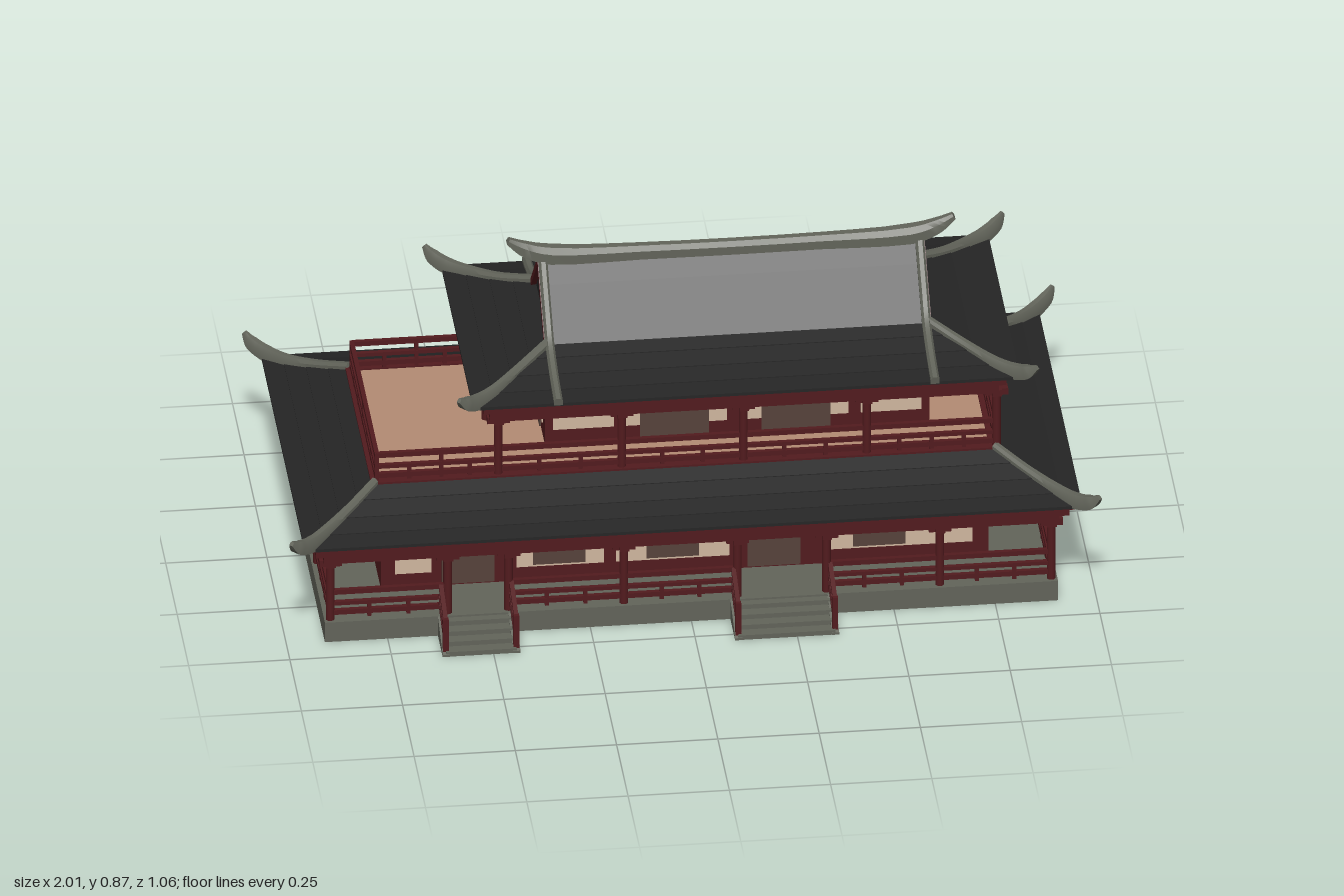
import * as THREE from 'three';
import { toCreasedNormals } from 'three/addons/utils/BufferGeometryUtils.js';

const mat = (name, color, side = THREE.FrontSide) => {
  const m = new THREE.MeshStandardMaterial({ color, side });
  m.name = name;
  return m;
};

export function createModel() {
  const stone = mat('grey stone', 0x62645a, THREE.DoubleSide);
  const red = mat('dark red wood', 0x521b1e);
  const tile = mat('black roof tile', 0x252525, THREE.DoubleSide);
  const cream = mat('cream panel', 0xcfb69f);
  const brown = mat('brown lattice', 0x56423b);
  const floor = mat('terrace floor', 0xb38b73);
  const root = new THREE.Group();
  root.name = 'pavilion';

  const group = (name) => {
    const g = new THREE.Group();
    g.name = name;
    root.add(g);
    return g;
  };
  const add = (parent, name, geo, m) => {
    const mesh = new THREE.Mesh(geo, m);
    mesh.name = name;
    parent.add(mesh);
    return mesh;
  };
  // Box given by its minimum and maximum corners
  const block = (parent, name, m, x0, x1, y0, y1, z0, z1) =>
    add(parent, name, new THREE.BoxGeometry(x1 - x0, y1 - y0, z1 - z0), m)
      .position.set((x0 + x1) / 2, (y0 + y1) / 2, (z0 + z1) / 2);
  // Straight timber between two points
  const bar = (parent, name, m, a, b, w, h = w) => {
    const p = new THREE.Vector3(...a), q = new THREE.Vector3(...b);
    const mesh = add(parent, name, new THREE.BoxGeometry(w, h, p.distanceTo(q)), m);
    mesh.position.copy(p).lerp(q, 0.5);
    mesh.lookAt(q);
  };
  // Rectangular slab with a rectangular opening
  const frame = (parent, name, m, hx, hz, ix, iz, y0, y1, cx = 0) => {
    const rect = (C, x, z) => new C([[-x, -z], [x, -z], [x, z], [-x, z]].map((p) => new THREE.Vector2(...p)));
    const s = rect(THREE.Shape, hx, hz);
    s.holes.push(rect(THREE.Path, ix, iz));
    const g = new THREE.ExtrudeGeometry(s, { depth: y1 - y0, bevelEnabled: false });
    add(parent, name, g.rotateX(-Math.PI / 2), m).position.set(cx, y0, 0);
  };
  // Surface through a list of closed loops of points
  const loft = (loops, closeEnds = false) => {
    const pos = [], n = loops[0].length;
    for (let i = 0; i < loops.length - 1; i++) {
      for (let j = 0; j < n; j++) {
        const k = (j + 1) % n, [a, b, c, d] = [loops[i][j], loops[i][k], loops[i + 1][k], loops[i + 1][j]];
        pos.push(...a, ...b, ...c, ...a, ...c, ...d);
      }
    }
    if (closeEnds) for (const l of [[...loops[0]].reverse(), loops[loops.length - 1]]) {
      for (let j = 1; j < n - 1; j++) pos.push(...l[0], ...l[j], ...l[j + 1]);
    }
    const g = new THREE.BufferGeometry();
    g.setAttribute('position', new THREE.Float32BufferAttribute(pos, 3));
    g.computeVertexNormals();
    return g;
  };
  // Ridge bar swept along a curve; sizes are [width, height] per point
  const ridge = (parent, name, pts, sizes) => {
    const curve = new THREE.CatmullRomCurve3(pts.map((p) => new THREE.Vector3(...p)));
    const N = 24, loops = [];
    for (let i = 0; i <= N; i++) {
      const t = i / N, p = curve.getPoint(t), d = curve.getTangent(t);
      const f = t * (pts.length - 1), k = Math.min(Math.floor(f), pts.length - 2);
      const [w, h] = [0, 1].map((c) => THREE.MathUtils.lerp(sizes[k][c], sizes[k + 1][c], f - k));
      const side = new THREE.Vector3(d.z, 0, -d.x).normalize();
      const up = new THREE.Vector3().crossVectors(d, side).normalize();
      loops.push([[-1, -1], [1, -1], [1, 0.3], [0.5, 1], [-0.5, 1], [-1, 0.3]].map(([u, v]) =>
        p.clone().addScaledVector(side, u * w / 2).addScaledVector(up, v * h / 2).toArray()));
    }
    add(parent, name, toCreasedNormals(loft(loops, true), 0.6), stone);
  };
  // Concave hipped skirt with overlapping tile rows
  const skirt = (parent, cx, hx0, hz0, hx1, hz1, y0, y1, rows) => {
    const loop = (t, y) => {
      const x = hx0 + (hx1 - hx0) * t, z = hz0 + (hz1 - hz0) * t;
      return [[cx - x, y, z], [cx + x, y, z], [cx + x, y, -z], [cx - x, y, -z]];
    };
    const yAt = (t) => y0 + (y1 - y0) * t ** 1.3;
    const loops = [loop(0, y0 - 0.006)];
    for (let r = 0; r < rows; r++) loops.push(loop(r / rows, yAt(r / rows) + 0.002), loop((r + 1) / rows, yAt((r + 1) / rows)));
    add(parent, 'tileRows', loft(loops), tile);
  };

  // Stone base and stairs
  const base = group('base');
  frame(base, 'plinth', stone, 0.905, 0.425, 0.735, 0.258, 0, 0.055);
  const stairs = (x0, x1, s) => {
    const g = group('stairs');
    for (let i = 0; i < 4; i++) {
      const za = s * 0.42, zb = s * (0.445 + 0.028 * i);
      block(g, 'step', stone, x0, x1, 0, 0.05 - i * 0.0125, Math.min(za, zb), Math.max(za, zb));
    }
    for (const x of [x0, x1]) {
      const sh = new THREE.Shape([[0.42, 0], [0.53, 0], [0.53, 0.006], [0.425, 0.055], [0.42, 0.055]].map((p) => new THREE.Vector2(...p)));
      const curb = add(g, 'curb', new THREE.ExtrudeGeometry(sh, { depth: 0.018, bevelEnabled: false }), stone);
      curb.rotation.y = -s * Math.PI / 2;
      curb.position.x = x + s * 0.009;
      for (const h of [0.078, 0.05, 0.027]) bar(g, 'handrail', red, [x, 0.055 + h, s * 0.41], [x, 0.015 + h, s * 0.515], 0.011);
      block(g, 'newel', red, x - 0.007, x + 0.007, 0.005, 0.1, s * 0.515 - 0.007, s * 0.515 + 0.007);
    }
  };
  stairs(-0.617, -0.443, 1);
  stairs(0.105, 0.344, 1);
  stairs(-0.345, 0.078, -1);

  // Columns with brackets
  const column = (g, x, z, y0, y1) => {
    add(g, 'post', new THREE.CylinderGeometry(0.011, 0.011, y1 - y0, 10), red).position.set(x, (y0 + y1) / 2, z);
    block(g, 'bracket', red, x - 0.028, x + 0.028, y1 - 0.018, y1, z - 0.012, z + 0.012);
    block(g, 'bracket', red, x - 0.012, x + 0.012, y1 - 0.018, y1, z - 0.02, z + 0.02);
  };
  // Railing panel with three bars and small uprights
  const railing = (g, a, b, y) => {
    for (const [h, t] of [[0.072, 0.013], [0.04, 0.01], [0.015, 0.013]]) bar(g, 'rail', red, [a[0], y + h, a[1]], [b[0], y + h, b[1]], 0.011, t);
    const n = Math.max(2, Math.round(Math.hypot(b[0] - a[0], b[1] - a[1]) / 0.09));
    for (let i = 0; i <= n; i++) {
      const x = a[0] + (b[0] - a[0]) * i / n, z = a[1] + (b[1] - a[1]) * i / n;
      const top = i % n ? 0.04 : 0.078;
      block(g, 'upright', red, x - 0.005, x + 0.005, y, y + top, z - 0.005, z + 0.005);
    }
  };
  const veranda = group('lowerVeranda');
  const frontX = [-0.89, -0.6, -0.45, -0.165, 0.115, 0.335, 0.615, 0.89];
  const backX = [-0.89, -0.62, -0.345, 0.08, 0.335, 0.615, 0.89];
  const sideZ = [-0.407, -0.13, 0.13, 0.407];
  for (const [xs, z, open] of [[frontX, 0.407, [1, 4]], [backX, -0.407, [2]]]) {
    xs.forEach((x, i) => {
      column(veranda, x, z, 0.055, 0.228);
      if (i < xs.length - 1 && !open.includes(i)) railing(veranda, [x, z], [xs[i + 1], z], 0.06);
    });
  }
  for (const x of [-0.89, 0.89]) for (let i = 0; i < 3; i++) {
    if (i) column(veranda, x, sideZ[i], 0.055, 0.228);
    railing(veranda, [x, sideZ[i]], [x, sideZ[i + 1]], 0.06);
  }
  frame(veranda, 'lowerBeam', red, 0.908, 0.432, 0.86, 0.375, 0.225, 0.255);
  frame(veranda, 'eaveBeam', red, 0.93, 0.452, 0.75, 0.275, 0.255, 0.284);
  frame(veranda, 'soffit', red, 0.955, 0.471, 0.9, 0.42, 0.282, 0.287);

  // Walls with thin panels on both faces
  const walls = (name, cx, hx, hz, y0, y1) => {
    const g = group(name);
    frame(g, 'wall', red, hx, hz, hx - 0.02, hz - 0.02, y0, y1, cx);
    return {
      long: (s, m, x0, x1, a, b, lift = 0) => {
        const t = 0.0035 + lift;
        for (const z of [s * hz, s * (hz - 0.02)]) block(g, 'panel', m, x0, x1, a, b, z - t, z + t);
      },
      end: (s, m, w, a, b, lift = 0) => {
        const t = 0.0035 + lift;
        for (const x of [cx + s * hx, cx + s * (hx - 0.02)]) block(g, 'panel', m, x - t, x + t, a, b, -w, w);
      },
      lining: (a, b) => frame(g, 'lining', cream, hx - 0.019, hz - 0.019, hx - 0.023, hz - 0.023, a, b, cx),
    };
  };
  const low = walls('lowerWalls', 0, 0.75, 0.275, 0.055, 0.29);
  low.lining(0.09, 0.252);
  for (const [a, b] of [[-0.715, -0.625], [-0.415, -0.2], [-0.17, 0.11], [0.345, 0.71]]) low.long(1, cream, a, b, 0.095, 0.215);
  for (const x of [-0.31, -0.03, 0.48]) low.long(1, brown, x - 0.065, x + 0.065, 0.1, 0.215, 0.001);
  for (const x of [-0.535, 0.22]) low.long(1, brown, x - 0.065, x + 0.065, 0.06, 0.22, 0.001);
  for (const [a, b] of [[-0.71, -0.4], [-0.35, 0.09], [0.14, 0.4], [0.45, 0.71]]) low.long(-1, cream, a, b, 0.095, 0.215);
  for (const x of [-0.55, 0.27, 0.58]) low.long(-1, brown, x - 0.06, x + 0.06, 0.1, 0.215, 0.001);
  low.long(-1, brown, -0.23, -0.03, 0.06, 0.22, 0.001);
  for (const s of [-1, 1]) low.end(s, cream, 0.19, 0.095, 0.215);

  const up = walls('upperWalls', 0.145, 0.475, 0.14, 0.36, 0.54);
  for (const s of [-1, 1]) {
    for (const [a, b] of [[-0.31, -0.16], [-0.13, 0.12], [0.17, 0.42], [0.45, 0.6]]) up.long(s, cream, a, b, 0.4, 0.515);
    for (const x of [-0.01, 0.29]) up.long(s, brown, x - 0.085, x + 0.085, 0.365, 0.515, 0.001);
    up.end(s, cream, 0.105, 0.4, 0.515);
    up.end(s, brown, 0.06, 0.365, 0.515, 0.001);
  }

  // Lower roof and terrace deck
  const lowerRoof = group('lowerRoof');
  skirt(lowerRoof, 0, 0.96, 0.475, 0.765, 0.28, 0.292, 0.362, 4);
  frame(lowerRoof, 'innerCurb', tile, 0.755, 0.278, 0.726, 0.25, 0.25, 0.352);
  block(lowerRoof, 'deck', floor, -0.765, 0.775, 0.348, 0.36, -0.282, 0.282);
  frame(lowerRoof, 'deckEdge', red, 0.775, 0.288, 0.752, 0.265, 0.346, 0.364);
  const hipSize = [[0.02, 0.02], [0.022, 0.022], [0.026, 0.028], [0.03, 0.036], [0.026, 0.032], [0.01, 0.012]];
  for (const sx of [-1, 1]) for (const sz of [-1, 1]) {
    const pts = [[0.765, 0.365, 0.28], [0.835, 0.334, 0.35], [0.9, 0.312, 0.415], [0.945, 0.306, 0.465], [0.98, 0.319, 0.5], [0.997, 0.34, 0.517]];
    ridge(lowerRoof, 'hipRidge', pts.map(([x, y, z]) => [x * sx, y, z * sz]), hipSize);
  }

  // Upper gallery, terrace railing and beams
  const gallery = group('upperGallery');
  const galX = [-0.46, -0.155, 0.145, 0.45, 0.77];
  for (const z of [-0.272, 0.272]) {
    for (const x of galX) column(gallery, x, z, 0.36, 0.528);
    const xs = [-0.76, -0.6, ...galX];
    for (let i = 0; i < xs.length - 1; i++) railing(gallery, [xs[i], z], [xs[i + 1], z], 0.362);
  }
  for (const x of [-0.46, 0.77]) column(gallery, x, 0, 0.36, 0.528);
  for (const x of [-0.76, 0.77]) for (const s of [-1, 1]) railing(gallery, [x, 0], [x, s * 0.272], 0.362);
  block(gallery, 'lowerBeam', red, -0.483, 0.773, 0.525, 0.556, -0.3, 0.3);
  block(gallery, 'eaveBeam', red, -0.5, 0.79, 0.556, 0.587, -0.316, 0.316);
  frame(gallery, 'soffit', red, 0.67, 0.343, 0.62, 0.29, 0.585, 0.589, 0.145);

  // Upper roof: skirt, gabled crown and ridges
  const upperRoof = group('upperRoof');
  skirt(upperRoof, 0.145, 0.675, 0.348, 0.465, 0.145, 0.594, 0.655, 4);
  const half = [[0.158, 0.652], [0.1, 0.709], [0.05, 0.758], [0, 0.81]];
  const profile = [...half, ...half.slice(0, 3).reverse().map(([z, y]) => [-z, y])];
  const crown = new THREE.ExtrudeGeometry(new THREE.Shape(profile.map((p) => new THREE.Vector2(...p))), { depth: 0.93, bevelEnabled: false });
  add(upperRoof, 'crown', crown.rotateY(Math.PI / 2), tile).position.x = -0.32;
  for (const sx of [-1, 1]) {
    const gx = 0.145 + sx * 0.465;
    for (const sz of [-1, 1]) {
      const verge = [[0.01, 0.803], [0.055, 0.757], [0.105, 0.708], [0.16, 0.656], [0.25, 0.62], [0.35, 0.6]];
      ridge(upperRoof, 'vergeRidge', verge.map(([z, y]) => [gx, y, z * sz]), verge.map(() => [0.022, 0.022]));
      for (let i = 0; i < 3; i++) {
        bar(upperRoof, 'bargeBoard', red, [gx + sx * 0.005, half[i][1] - 0.011, half[i][0] * sz], [gx + sx * 0.005, half[i + 1][1] - 0.011, half[i + 1][0] * sz], 0.016, 0.016);
      }
      const pts = [[0.465, 0.66, 0.15], [0.55, 0.628, 0.225], [0.62, 0.61, 0.295], [0.665, 0.607, 0.335], [0.695, 0.619, 0.362], [0.713, 0.638, 0.379]];
      ridge(upperRoof, 'hipRidge', pts.map(([x, y, z]) => [0.145 + x * sx, y, z * sz]), hipSize);
    }
  }
  const top = [[-0.55, 0.862], [-0.51, 0.838], [-0.45, 0.82], [-0.2, 0.813]];
  const topSize = [[0.022, 0.014], [0.032, 0.034], [0.044, 0.042], [0.034, 0.034]];
  ridge(upperRoof, 'mainRidge',
    [...top, ...[...top].reverse().map(([x, y]) => [-x, y])].map(([x, y]) => [0.145 + x, y, 0]),
    [...topSize, ...[...topSize].reverse()]);
  return root;
}
